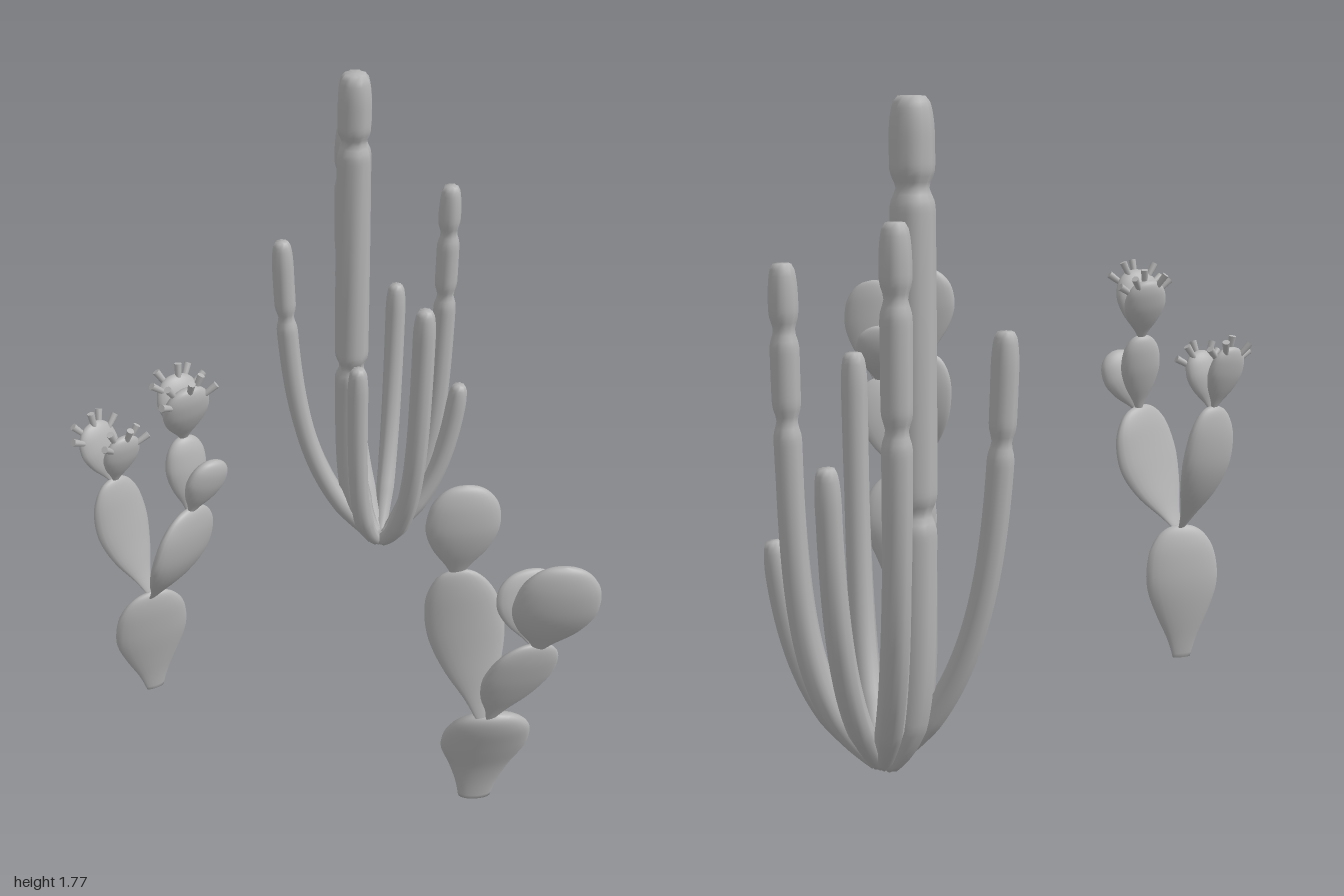
import * as THREE from 'three';

const V = (x, y, z) => new THREE.Vector3(x, y, z);
const plantMaterial = new THREE.MeshStandardMaterial({ color: 0xb4b4b4 });
plantMaterial.name = 'plantGrey';

// Skin over closed rings of equal length, with a centre point closing each end
function loft(rings) {
  const n = rings[0].length, m = rings.length, pos = [], index = [];
  rings.forEach(r => r.forEach(p => pos.push(p.x, p.y, p.z)));
  for (const r of [rings[0], rings[m - 1]]) {
    const c = r.reduce((s, p) => s.add(p), V(0, 0, 0)).divideScalar(n);
    pos.push(c.x, c.y, c.z);
  }
  for (let j = 0; j < n; j++) {
    const k = (j + 1) % n, top = (m - 1) * n;
    for (let i = 0; i < m - 1; i++) {
      const a = i * n + j, b = i * n + k;
      index.push(a, b, b + n, a, b + n, a + n);
    }
    index.push(m * n, k, j, m * n + 1, top + j, top + k);
  }
  const g = new THREE.BufferGeometry();
  g.setAttribute('position', new THREE.Float32BufferAttribute(pos, 3));
  g.setIndex(index);
  g.computeVertexNormals();
  return g;
}

function part(parent, name, geometry) {
  const mesh = new THREE.Mesh(geometry, plantMaterial);
  mesh.name = name;
  parent.add(mesh);
  return mesh;
}

// Side and depth directions square to an axis
function frame(axis, side) {
  const u = side.clone().addScaledVector(axis, -side.dot(axis)).normalize();
  return { u, v: axis.clone().cross(u) };
}

// Ribbed column that bends outwards from the root, then rises
function columnStem(parent, name, root, [x, z, h], R, necks) {
  const d = Math.hypot(x - root.x, z - root.z), k = 0.9 * d;
  const f = y => (1 - Math.exp(-y / k)) / (1 - Math.exp(-h / k));
  const at = y => V(root.x + (x - root.x) * f(y), y, root.z + (z - root.z) * f(y));
  const rings = [], count = Math.ceil(h / 0.015), sides = 16, y0 = 0.017;
  for (let i = 0; i <= count; i++) {
    const y = y0 + (h - y0) * i / count, c = at(y);
    const { u, v } = frame(at(y + 0.01).sub(at(y - 0.01)).normalize(), V(1, 0, 0));
    let r = R * (0.55 + 0.45 * Math.min(1, y / 0.15));
    for (const n of necks) r *= 1 - 0.27 * Math.exp(-(((y - n) / 0.025) ** 2));
    const e = Math.min(1, (h - y) / 0.1);
    r *= 0.6 + 0.4 * Math.sqrt(1 - (1 - e) ** 2);
    rings.push(Array.from({ length: sides }, (_, j) => {
      const a = j / sides * Math.PI * 2 + y * 0.5, rr = r * (j % 2 ? 0.9 : 1.05);
      return c.clone().addScaledVector(u, rr * Math.cos(a)).addScaledVector(v, rr * Math.sin(a));
    }));
  }
  part(parent, name, loft(rings));
}

// Flat egg-shaped pad from base to tip; turn is the heading of its width in degrees
function pad(parent, name, base, tip, a, b, turn, { bow = 0, foot = 0.1, buds = false } = {}) {
  const p0 = V(...base), p1 = V(...tip), th = THREE.MathUtils.degToRad(turn);
  const { u, v } = frame(p1.clone().sub(p0).normalize(), V(Math.cos(th), 0, -Math.sin(th)));
  const profile = new THREE.SplineCurve([
    [foot, 0], [foot * 0.6 + 0.27, 0.15], [0.71, 0.33], [0.94, 0.5], [1, 0.64],
    [0.91, 0.8], [0.69, 0.91], [0.4, 0.975], [0.04, 1],
  ].map(q => new THREE.Vector2(...q)));
  const spine = t => p0.clone().lerp(p1, t).addScaledVector(v, -bow * Math.sin(Math.PI * t));
  const rings = [], sides = 24, steps = 28;
  for (let i = 0; i <= steps; i++) {
    const q = profile.getPoint(i / steps), c = spine(q.y);
    rings.push(Array.from({ length: sides }, (_, j) => {
      const g = j / sides * Math.PI * 2;
      return c.clone().addScaledVector(u, a * q.x * Math.cos(g))
        .addScaledVector(v, b * q.x * Math.sin(g));
    }));
  }
  part(parent, name, loft(rings));
  if (!buds) return;
  // Fruit buds fanned along the upper rim
  const heart = spine(0.62);
  [[-0.86, 0.83], [-0.55, 0.94], [0.05, 0.99], [0.5, 0.95], [0.84, 0.84]].forEach(([s, t], i) => {
    const p = spine(t).addScaledVector(u, a * s).addScaledVector(v, (i % 2 ? 0.3 : -0.3) * b);
    const dir = p.clone().sub(heart).normalize();
    const bud = part(parent, 'fruitBud', new THREE.CylinderGeometry(0.011, 0.008, 0.045, 8));
    bud.position.copy(p).addScaledVector(dir, 0.01);
    bud.quaternion.setFromUnitVectors(V(0, 1, 0), dir);
  });
}

function plant(parent, name) {
  const g = new THREE.Group();
  g.name = name;
  parent.add(g);
  return g;
}

export function createModel() {
  const model = new THREE.Group();
  model.name = 'cactusGroup';

  // Clump of ribbed columns: tip x, tip z, height, radius, neck heights
  const columns = plant(model, 'columnCactus'), root = V(0.41, 0, -0.61);
  columnStem(columns, 'mainColumn', root, [0.32, -0.69, 1.76], 0.054, [0.72, 1.54]);
  [
    [[0.385, -0.96, 1.48], 0.037, [0.99, 1.305]],
    [[0.55, -0.885, 0.89], 0.033, []],
    [[0.64, -0.655, 1.355], 0.036, [0.96, 1.19]],
    [[0.68, -0.59, 0.63], 0.033, []],
    [[0.455, -0.375, 1.08], 0.035, []],
    [[0.285, -0.52, 0.81], 0.033, []],
    [[0.1, -0.76, 1.19], 0.034, [0.91]],
  ].forEach(([tip, r, necks]) => columnStem(columns, 'sideColumn', root, tip, r, necks));

  // Pad cactus with fruit buds
  const fruiting = plant(model, 'fruitingPadCactus');
  pad(fruiting, 'basePad', [-0.55, 0.05, -0.06], [-0.545, 0.465, -0.03], 0.118, 0.032, 10,
    { foot: 0.24, bow: -0.01 });
  pad(fruiting, 'rightLowerPad', [-0.545, 0.45, -0.035], [-0.62, 0.85, -0.115], 0.09, 0.032, 25, { bow: -0.03 });
  pad(fruiting, 'leftLowerPad', [-0.545, 0.44, -0.03], [-0.425, 0.82, 0.06], 0.122, 0.034, 32, { bow: 0.03 });
  pad(fruiting, 'rightOuterBudPad', [-0.615, 0.835, -0.115], [-0.66, 1.03, -0.15], 0.066, 0.025, 28, { buds: true });
  pad(fruiting, 'rightInnerBudPad', [-0.61, 0.835, -0.115], [-0.575, 1.01, -0.08], 0.06, 0.025, 22, { buds: true });
  pad(fruiting, 'leftMiddlePad', [-0.43, 0.8, 0.055], [-0.425, 1.045, 0.015], 0.066, 0.03, 20);
  pad(fruiting, 'leftSmallPad', [-0.43, 0.8, 0.06], [-0.35, 0.985, 0.08], 0.068, 0.03, 20);
  pad(fruiting, 'frontTopBudPad', [-0.425, 1.03, 0.015], [-0.42, 1.235, 0.075], 0.073, 0.03, 18, { buds: true });
  pad(fruiting, 'backTopBudPad', [-0.425, 1.03, 0.015], [-0.425, 1.215, -0.045], 0.068, 0.028, 18, { buds: true });

  // Plain pad cactus
  const plain = plant(model, 'plainPadCactus');
  pad(plain, 'basePad', [0.245, 0.05, 0.68], [0.245, 0.455, 0.77], 0.127, 0.045, -12,
    { foot: 0.38, bow: -0.03 });
  pad(plain, 'backLowerPad', [0.21, 0.43, 0.77], [0.155, 0.9, 0.645], 0.107, 0.032, -18, { bow: -0.035 });
  pad(plain, 'frontLowerPad', [0.23, 0.44, 0.77], [0.305, 0.78, 0.865], 0.105, 0.026, 0);
  pad(plain, 'backTopPad', [0.16, 0.87, 0.643], [0.168, 1.18, 0.655], 0.1, 0.032, -10, { bow: 0.01 });
  pad(plain, 'frontTopPad', [0.31, 0.755, 0.86], [0.315, 1.105, 0.955], 0.112, 0.035, -15, { bow: 0.02 });
  pad(plain, 'innerTopPad', [0.305, 0.76, 0.86], [0.295, 0.97, 0.78], 0.09, 0.024, -2, { bow: -0.01 });

  return model;
}
